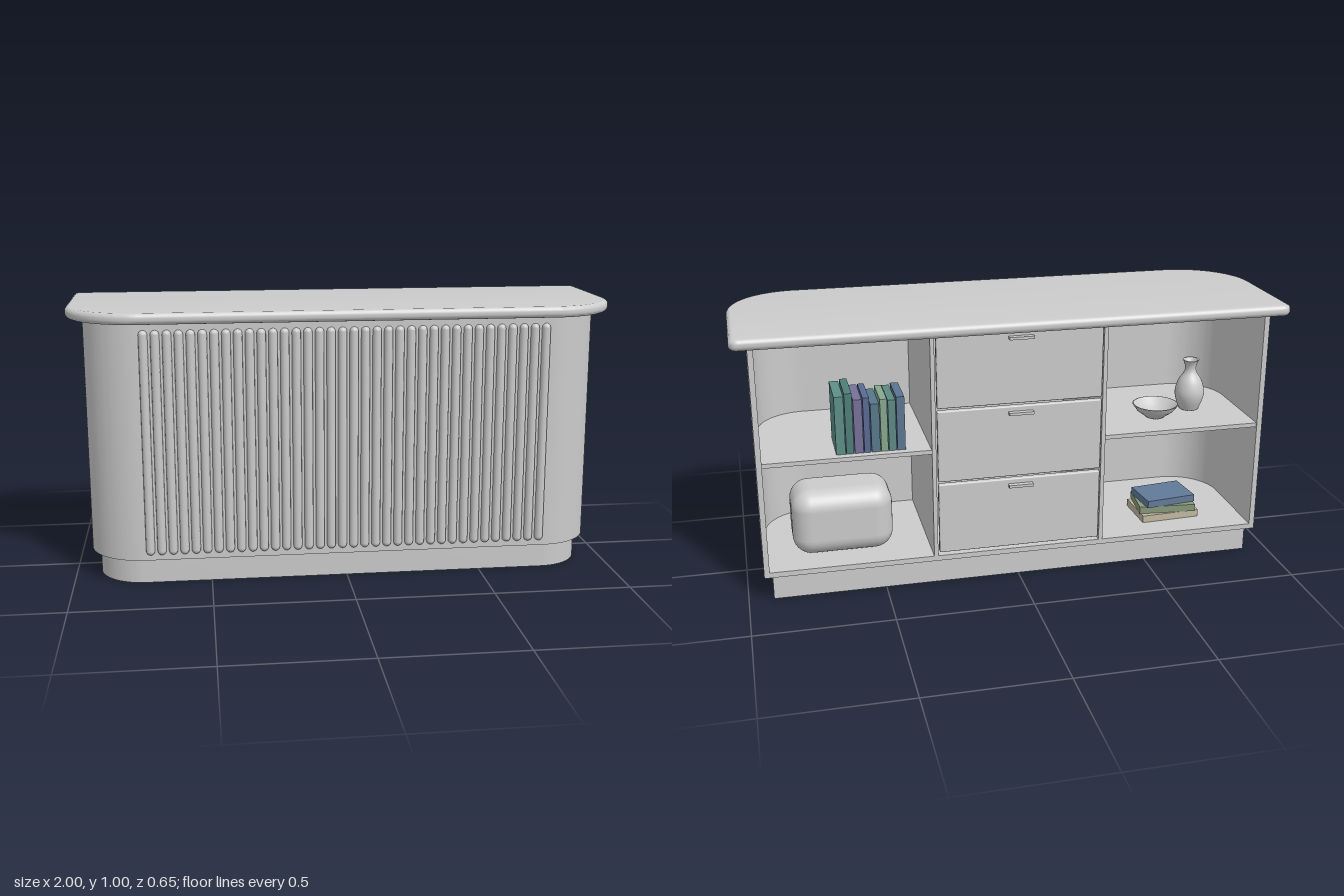
import * as THREE from 'three';
import { toCreasedNormals } from 'three/addons/utils/BufferGeometryUtils.js';
import { RoundedBoxGeometry } from 'three/addons/geometries/RoundedBoxGeometry.js';

const mat = (color, side = THREE.FrontSide) => new THREE.MeshStandardMaterial({ color, side });
const grey = mat(0xcccccc);

// body extents shared by several parts
const W = 0.94, BACK = -0.27, FRONT = 0.27, R = 0.2, T = 0.02, Y0 = 0.095, Y1 = 0.96;
const DIV = 0.315, SHELF = 0.525, FLOOR = Y0 + T;

function add(parent, name, geometry, x = 0, y = 0, z = 0, material = grey) {
  const mesh = new THREE.Mesh(geometry, material);
  mesh.name = name;
  mesh.position.set(x, y, z);
  parent.add(mesh);
  return mesh;
}

const box = (w, h, d) => new THREE.BoxGeometry(w, h, d);

// plan outline between x0 and x1, with separate radii for the two front corners and the back ones
function outline(x0, x1, zb, zf, rLow, rHigh, rb = 0) {
  const s = new THREE.Shape();
  s.moveTo(x0 + rb, zb);
  s.lineTo(x1 - rb, zb);
  if (rb) s.absarc(x1 - rb, zb + rb, rb, -Math.PI / 2, 0);
  s.lineTo(x1, zf - rHigh);
  if (rHigh) s.absarc(x1 - rHigh, zf - rHigh, rHigh, 0, Math.PI / 2);
  s.lineTo(x0 + rLow, zf);
  if (rLow) s.absarc(x0 + rLow, zf - rLow, rLow, Math.PI / 2, Math.PI);
  s.lineTo(x0, zb + rb);
  if (rb) s.absarc(x0 + rb, zb + rb, rb, Math.PI, Math.PI * 1.5);
  return s;
}

// extrude a plan shape upwards from y0 to y1, with an optional rounded edge
function slab(shape, y0, y1, bevel = 0) {
  const g = new THREE.ExtrudeGeometry(shape, {
    depth: y1 - y0 - 2 * bevel, curveSegments: 16, bevelEnabled: bevel > 0,
    bevelThickness: bevel, bevelSize: bevel, bevelOffset: -bevel, bevelSegments: 4,
  });
  g.rotateX(Math.PI / 2);
  g.translate(0, y1 - bevel, 0);
  return toCreasedNormals(g, 0.6);
}

const lathe = (pts) => new THREE.LatheGeometry(pts.map(([x, y]) => new THREE.Vector2(x, y)), 32);

export function createModel() {
  const model = new THREE.Group();
  model.name = 'counter';

  add(model, 'plinth', slab(outline(-0.91, 0.91, -0.25, 0.24, 0.17, 0.17), 0, Y0));
  add(model, 'countertop', slab(outline(-1, 1, -0.325, 0.325, 0.26, 0.26, 0.03), Y1, 1, 0.016));

  // shell: front panel, quarter-round corners, side panels
  const midY = (Y0 + Y1) / 2, H = Y1 - Y0;
  add(model, 'frontPanel', box(2 * (W - R), H, T), 0, midY, FRONT - T / 2);
  for (const s of [-1, 1]) {
    const side = s > 0 ? 'left' : 'right';
    const a = s > 0 ? 0 : Math.PI / 2, cx = s * (W - R), cz = FRONT - R;
    const arc = new THREE.Shape();
    arc.absarc(cx, cz, R, a, a + Math.PI / 2);
    arc.absarc(cx, cz, R - T, a + Math.PI / 2, a, true);
    add(model, side + 'Corner', slab(arc, Y0, Y1));
    add(model, side + 'SidePanel', box(T, H, cz - BACK), s * (W - T / 2), midY, (cz + BACK) / 2);
    add(model, side + 'Divider', box(0.015, H, FRONT - T - BACK), s * DIV, midY, (FRONT - T + BACK) / 2);

    // shelf follows the rounded inside of the shell
    const inner = DIV + 0.0075, outer = W - T, r = R - T;
    const plan = s > 0 ? outline(inner, outer, BACK + 0.005, FRONT - T, 0, r)
      : outline(-outer, -inner, BACK + 0.005, FRONT - T, r, 0);
    add(model, side + 'Shelf', slab(plan, SHELF - 0.008, SHELF + 0.008));
  }
  add(model, 'floorPanel', slab(outline(-W + T, W - T, BACK, FRONT - T, R - T, R - T), Y0, FLOOR));

  // vertical fluting on the front
  const fluting = new THREE.Group();
  fluting.name = 'fluting';
  model.add(fluting);
  const count = 36, pitch = 1.48 / count, rod = 0.016;
  const rodGeo = new THREE.CapsuleGeometry(rod, 0.82 - 2 * rod, 4, 12);
  for (let i = 0; i < count; i++)
    add(fluting, 'slat', rodGeo, (i - (count - 1) / 2) * pitch, 0.525, FRONT);

  // three drawers with tab pulls at the back
  for (let i = 0; i < 3; i++) {
    const drawer = new THREE.Group();
    drawer.name = 'drawer';
    drawer.position.set(0, 0.265 + i * 0.28, BACK);
    add(drawer, 'drawerFront', new RoundedBoxGeometry(0.605, 0.27, 0.022, 2, 0.005), 0, 0, 0.004);
    add(drawer, 'drawerPull', box(0.09, 0.01, 0.022), 0, 0.111, -0.016);
    model.add(drawer);
  }

  // row of standing books
  const books = new THREE.Group();
  books.name = 'standingBooks';
  model.add(books);
  const row = [ // thickness, height, depth, colour
    [0.036, 0.215, 0.18, 0x5f8f88], [0.03, 0.225, 0.17, 0x4f7f78], [0.034, 0.2, 0.17, 0x77709a],
    [0.026, 0.205, 0.16, 0x5a6a92], [0.034, 0.18, 0.17, 0x56788c], [0.028, 0.195, 0.16, 0x86a890],
    [0.03, 0.19, 0.17, 0x5d8a84], [0.032, 0.2, 0.16, 0x5b7590],
  ];
  let x = 0.66;
  for (const [t, h, d, color] of row) {
    add(books, 'book', box(t - 0.003, h, d), x - t / 2, SHELF + 0.008 + h / 2, -0.235 + d / 2, mat(color));
    x -= t;
  }

  // soft storage basket below the books
  add(model, 'basket', new RoundedBoxGeometry(0.37, 0.25, 0.23, 6, 0.07), 0.64, FLOOR + 0.125, -0.08);

  // bowl and vase on the other shelf
  const top = SHELF + 0.008;
  add(model, 'bowl', lathe([[0, 0], [0.035, 0], [0.04, 0.006], [0.07, 0.028], [0.087, 0.052],
    [0.082, 0.053], [0.064, 0.032], [0.035, 0.013], [0, 0.01]]), -0.57, top, -0.11, mat(0xcccccc, THREE.DoubleSide));
  const vaseCurve = new THREE.SplineCurve([[0.036, 0], [0.052, 0.04], [0.056, 0.075], [0.045, 0.115],
    [0.024, 0.15], [0.022, 0.175], [0.032, 0.2]].map(([a, b]) => new THREE.Vector2(a, b)));
  add(model, 'vase', lathe([[0, 0], ...vaseCurve.getPoints(28).map((p) => [p.x, p.y]),
    [0.026, 0.198], [0.017, 0.172], [0, 0.15]]), -0.73, top, -0.05, mat(0xcccccc, THREE.DoubleSide));

  // stack of lying books
  const stack = new THREE.Group();
  stack.name = 'stackedBooks';
  stack.position.set(-0.63, FLOOR, -0.08);
  model.add(stack);
  [[0.23, 0.17, 0xc0b8a0, 0.05], [0.22, 0.16, 0x8a9a7c, -0.1], [0.2, 0.15, 0x627a98, 0.12]]
    .forEach(([w, d, color, turn], i) => {
      add(stack, 'book', box(w, 0.028, d), 0, 0.015 + i * 0.029, 0, mat(color)).rotation.y = turn;
    });

  return model;
}
